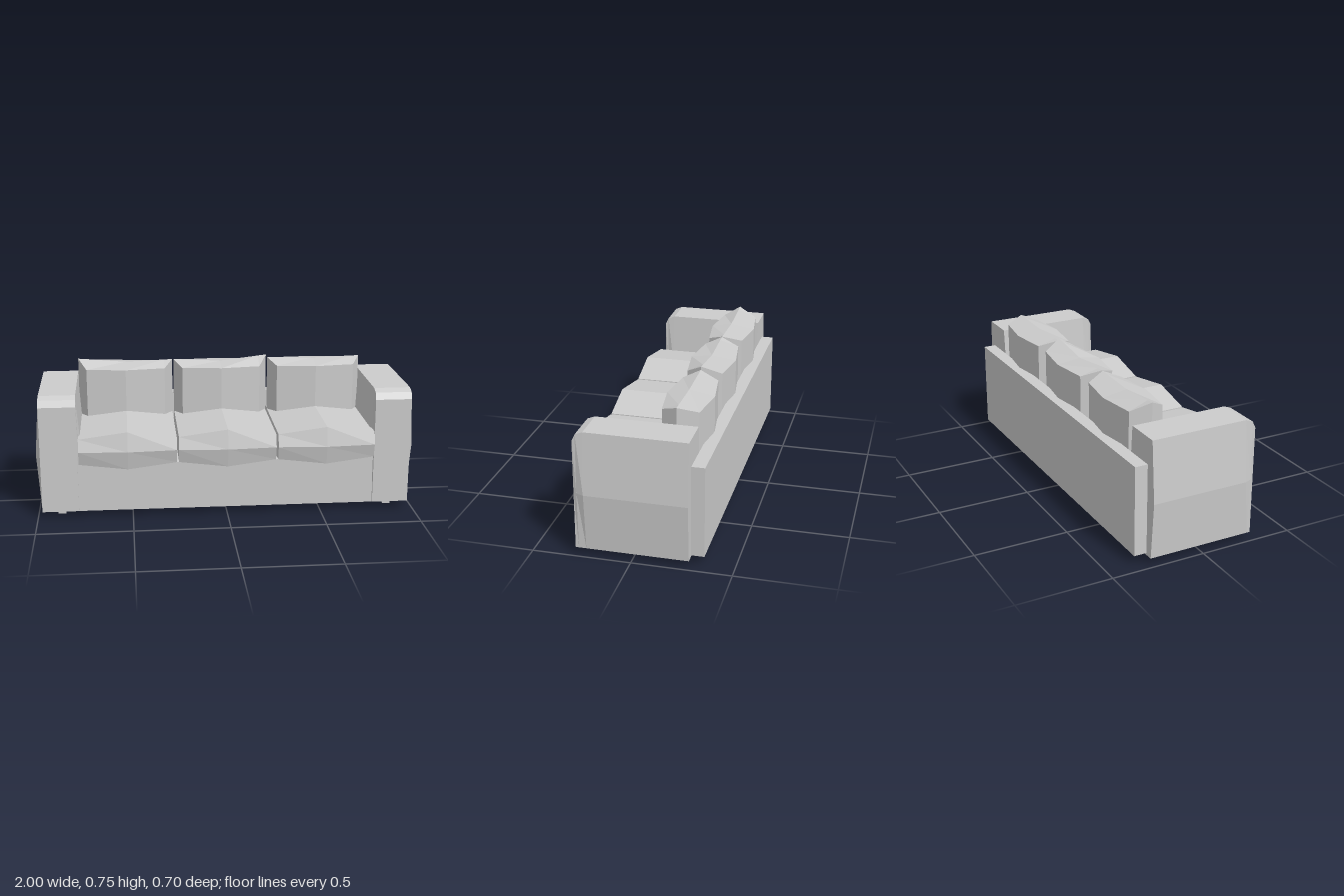
import * as THREE from 'three';

const material = new THREE.MeshStandardMaterial({ color: 0xcccccc, flatShading: true });

// Skin over convex rings of [x, y, z] points, closed at both ends.
function loft(rings) {
  const pos = [];
  const tri = (a, b, c) => {
    const t = new THREE.Triangle(...[a, b, c].map((p) => new THREE.Vector3(...p)));
    if (t.getArea() > 1e-8) pos.push(...a, ...b, ...c);
  };
  const n = rings[0].length;
  for (let r = 0; r < rings.length - 1; r++) {
    for (let i = 0; i < n; i++) {
      const j = (i + 1) % n, A = rings[r], B = rings[r + 1];
      tri(A[i], A[j], B[j]);
      tri(A[i], B[j], B[i]);
    }
  }
  const first = rings[0], last = rings[rings.length - 1];
  for (let i = 1; i < n - 1; i++) {
    tri(first[0], first[i + 1], first[i]);
    tri(last[0], last[i], last[i + 1]);
  }
  const geo = new THREE.BufferGeometry();
  geo.setAttribute('position', new THREE.Float32BufferAttribute(pos, 3));
  geo.computeVertexNormals();
  return geo;
}

// Box given by its limits.
function box(x0, x1, y0, y1, z0, z1) {
  return new THREE.BoxGeometry(x1 - x0, y1 - y0, z1 - z0)
    .translate((x0 + x1) / 2, (y0 + y1) / 2, (z0 + z1) / 2);
}

// Armrest: bulging sides, rounded off at the top front.
function armGeometry() {
  const sections = [[-0.283, 0.655, 0.024], [0.23, 0.655, 0.024], [0.268, 0.64, 0.008], [0.285, 0.605, 0]];
  const w = 0.096;
  return loft(sections.map(([z, top, bulge]) => [
    [-w, 0.035, z], [w, 0.035, z], [w + bulge, 0.335, z],
    [w, top, z], [-w, top, z], [-w - bulge, 0.335, z],
  ]));
}

// Seat cushion: hexagonal section, thickest in the middle.
function seatGeometry() {
  const back = -0.24;
  const section = (x, top, bottom, edge, nose) => [
    [x, bottom, back], [x, 0.375, back - 0.02], [x, top, back],
    [x, top, edge], [x, 0.375, nose], [x, bottom, edge],
  ];
  return loft([
    section(-0.255, 0.44, 0.303, 0.315, 0.334),
    section(0, 0.478, 0.276, 0.33, 0.35),
    section(0.255, 0.44, 0.303, 0.315, 0.334),
  ]);
}

// Back cushion: eight-sided plan rising to a sagging ridge.
function backGeometry(leftY, midY, rightY) {
  const ridgeZ = -0.173, w = 0.257;
  const plan = [
    [0, -0.063], [0.212, -0.09], [w, ridgeZ], [0.212, -0.275],
    [0, -0.304], [-0.212, -0.275], [-w, ridgeZ], [-0.212, -0.09],
  ];
  const ridge = (x) => THREE.MathUtils.lerp(midY, x < 0 ? leftY : rightY, Math.abs(x) / w);
  return loft([
    plan.map(([x, z]) => [x, 0.3, z]),
    plan.map(([x, z]) => [x, z === ridgeZ ? ridge(x) : 0.706, z]),
    plan.map(([x]) => [x, ridge(x), ridgeZ]),
  ]);
}

export function createModel() {
  const sofa = new THREE.Group();
  sofa.name = 'sofa';
  const add = (name, geo, x = 0, z = 0) => {
    const mesh = new THREE.Mesh(geo, material);
    mesh.name = name;
    mesh.position.set(x, 0, z);
    sofa.add(mesh);
  };

  // Frame
  add('base', box(-0.785, 0.785, 0.033, 0.29, -0.305, 0.278));
  add('backPanel', box(-0.935, 0.935, 0.045, 0.517, -0.35, -0.283));

  // Arms and feet on each side
  const arm = armGeometry();
  const foot = box(-0.021, 0.021, 0, 0.04, -0.021, 0.021);
  for (const side of [-1, 1]) {
    const sideName = side > 0 ? 'left' : 'right';
    add(sideName + 'Arm', arm, side * 0.88);
    add(sideName + 'FrontFoot', foot, side * 0.877, 0.201);
    add(sideName + 'BackFoot', foot, side * 0.877, -0.233);
  }

  // Three seat and back cushions, each back ridge sagging a little differently
  const seat = seatGeometry();
  const ridges = [[0.75, 0.727, 0.737], [0.737, 0.722, 0.752], [0.737, 0.729, 0.737]];
  ridges.forEach((heights, i) => {
    const x = (i - 1) * 0.521;
    add('seatCushion' + (i + 1), seat, x);
    add('backCushion' + (i + 1), backGeometry(...heights), x);
  });
  return sofa;
}
